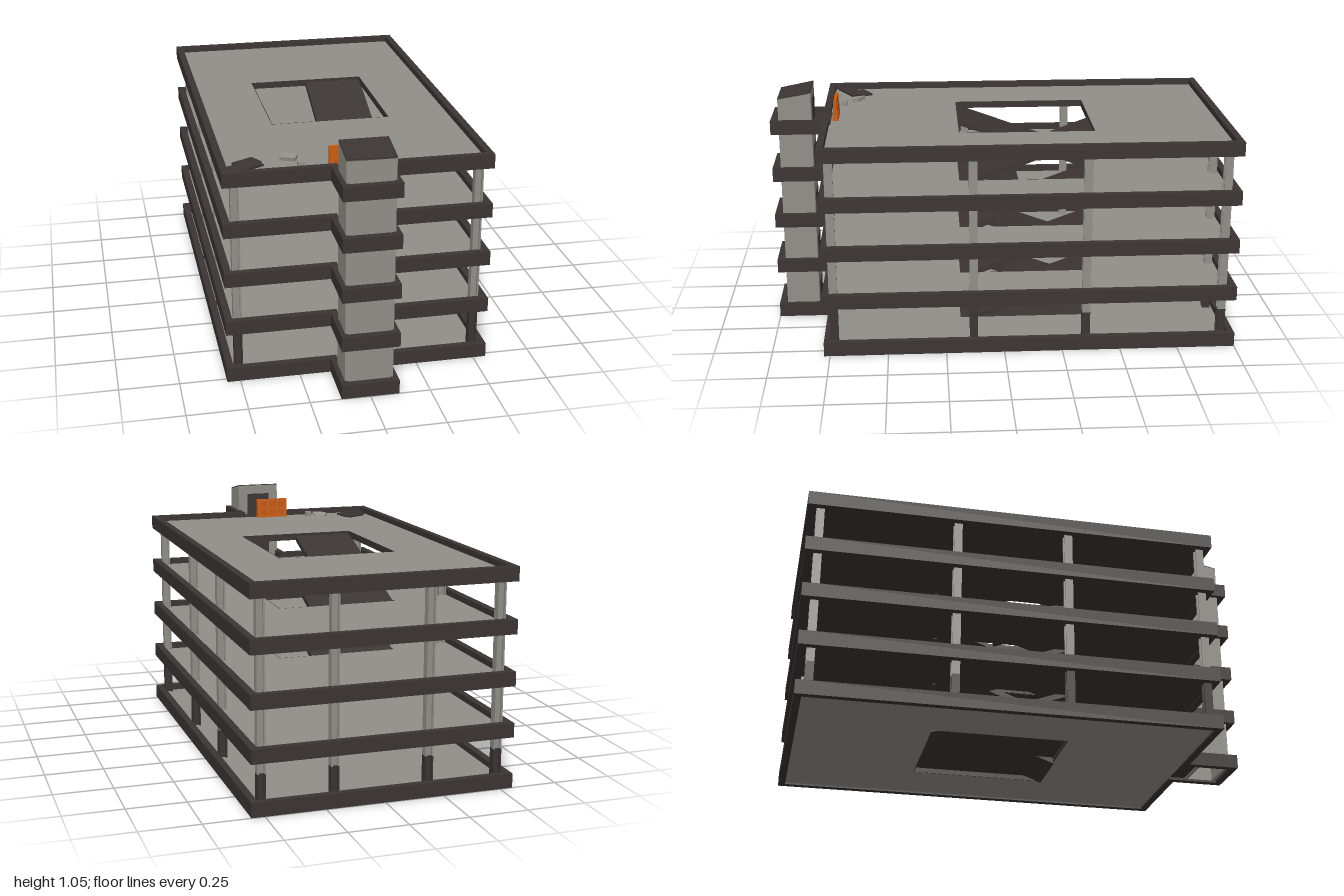
import * as THREE from 'three';

const flat = (name, hex) => {
  const m = new THREE.MeshStandardMaterial({ color: hex });
  m.name = name;
  return m;
};

// Closed plan outline from [x, z] pairs, turned so that holes face inwards
const outline = (pts, Type = THREE.Shape) => new Type(pts.map(([x, z]) => new THREE.Vector2(x, -z)).reverse());
const rect = (x0, x1, z0, z1) => [[x0, z0], [x1, z0], [x1, z1], [x0, z1]];

// Extrudes a plan outline upwards from y0 to y1
function planGeometry(pts, holes, y0, y1) {
  const shape = outline(pts);
  holes.forEach((h) => shape.holes.push(outline(h, THREE.Path)));
  const g = new THREE.ExtrudeGeometry(shape, { depth: y1 - y0, bevelEnabled: false });
  return g.rotateX(-Math.PI / 2).translate(0, y0, 0);
}

// Moves vertices up or down by a rule of their position
function lift(g, rule) {
  const p = g.attributes.position;
  for (let i = 0; i < p.count; i++) p.setY(i, p.getY(i) + rule(p.getX(i), p.getY(i), p.getZ(i)));
  g.computeVertexNormals();
  return g;
}

export function createModel() {
  const concrete = flat('concrete', 0x918f88);
  const dark = flat('dark concrete', 0x3b3433);
  const orange = flat('barrier orange', 0xc85a0c);
  const root = new THREE.Group();
  root.name = 'parkingGarage';

  const add = (parent, name, geometry, material) => {
    const mesh = new THREE.Mesh(geometry, material);
    mesh.name = name;
    parent.add(mesh);
    return mesh;
  };
  const box = (parent, name, size, pos, material) => {
    const mesh = add(parent, name, new THREE.BoxGeometry(...size), material);
    mesh.position.set(...pos);
    return mesh;
  };

  const levels = 5, pitch = 0.2158, bandHeight = 0.061, floorTop = 0.036;
  const W = 0.555, back = -1, front = 0.775;
  const rampBack = -0.41, rampFront = 0.18, rampLength = rampFront - rampBack;

  // Perimeter with the stair tower projection, inset by d
  const perimeter = (d) => [
    [-W + d, back + d], [W - d, back + d], [W - d, front - d], [0.12 - d, front - d],
    [0.12 - d, 1 - d], [-0.12 + d, 1 - d], [-0.12 + d, front - d], [-W + d, front - d],
  ];
  const deck = rect(-W + 0.028, W - 0.028, back + 0.028, front - 0.028);
  const well = rect(-0.26, 0.26, rampBack, rampFront);
  const wellLining = rect(-0.257, 0.257, rampBack + 0.003, rampFront - 0.003);

  // Floors: parapet band, deck, ceiling, dark lining of the ramp well and tower landing
  for (let i = 0; i < levels; i++) {
    const y = i * pitch;
    const floor = new THREE.Group();
    floor.name = 'floor' + i;
    root.add(floor);
    add(floor, 'parapet', planGeometry(perimeter(0), [perimeter(0.03)], y, y + bandHeight), dark);
    const deckBottom = i === 0 ? 0.008 : y + floorTop - 0.006;
    add(floor, 'deck', planGeometry(deck, [well], deckBottom, y + floorTop), concrete);
    if (i > 0) add(floor, 'ceiling', planGeometry(deck, [well], y + 0.006, deckBottom), dark);
    add(floor, 'wellLining', planGeometry(well, [wellLining], y + 0.008, y + floorTop), dark);
    const landingEnd = i === 0 ? 0.825 : 0.98;
    add(floor, 'landing', planGeometry(rect(-0.1, 0.1, 0.74, landingEnd), [], y + 0.012, y + floorTop + 0.003), dark);
  }
  add(root, 'wellFloor', planGeometry(well, [], 0.029, 0.035), dark);

  // Steel columns with an H section
  const h = 0.0175, web = 0.005, flange = 0.011;
  const section = [
    [-h, -h], [-flange, -h], [-flange, -web], [flange, -web], [flange, -h], [h, -h],
    [h, h], [flange, h], [flange, web], [-flange, web], [-flange, h], [-h, h],
  ];
  const spots = [[-0.2, -0.945], [0.2, -0.945]];
  for (const x of [-0.502, 0.502]) for (const z of [-0.945, -0.355, 0.13, 0.73]) spots.push([x, z]);
  for (let i = 0; i < levels - 1; i++) {
    for (const [x, z] of spots) {
      const y0 = i * pitch + floorTop, y1 = (i + 1) * pitch + 0.008;
      const split = i > 0 ? y0 : z > 0 ? y1 : 0.16;
      if (split > y0) add(root, 'columnBase', planGeometry(section, [], y0, split), dark).position.set(x, 0, z);
      if (split < y1) add(root, 'column', planGeometry(section, [], split, y1), concrete).position.set(x, 0, z);
    }
  }

  // Ramps: outline as [distance from centre, fraction of the rise]
  const addRamp = (name, level, side, pts) => {
    const plan = pts.map(([u, t]) => [u, rampLength * (0.5 - t)]).reverse();
    const g = lift(planGeometry(plan, [], -0.036, -0.011), (x, y, z) => pitch * (0.5 - z / rampLength));
    const ramp = add(root, name, g, dark);
    ramp.position.set(0, level * pitch + floorTop, (rampBack + rampFront) / 2);
    if (side < 0) ramp.rotation.y = Math.PI;
  };
  const whole = [[0, 0], [0.26, 0], [0.26, 1], [0, 1]];
  for (const level of [0, 1, 3]) for (const side of [1, -1]) addRamp('ramp', level, side, whole);

  // Collapsed ramps with ragged ends
  addRamp('brokenRampTop', 2, 1, [[0, 1], [0.26, 1], [0.26, 0.52], [0.1, 0.52], [0.05, 0.55], [0, 0.51]]);
  addRamp('brokenRampTop', 2, -1, [[0, 1], [0.26, 1], [0.26, 0.88], [0.24, 0.68], [0.218, 0.52], [0.1, 0.52], [0.06, 0.5], [0, 0.53]]);
  addRamp('brokenRampFoot', 2, 1, [[0, 0], [0.26, 0], [0.26, 0.27], [0.1, 0.27], [0.05, 0.2], [0, 0.15]]);
  addRamp('brokenRampFoot', 2, -1, [[0, 0], [0.26, 0], [0.26, 0.16], [0.22, 0.28], [0.11, 0.21], [0.05, 0.22], [0, 0.15]]);

  // Stair tower: hollow shaft with a sloping roof and a door on each floor
  const tower = new THREE.Group();
  tower.name = 'stairTower';
  root.add(tower);
  const slope = (x, y, z) => (y > 0.9 ? (0.965 - z) * 0.2 : 0);
  const shaft = planGeometry(rect(-0.1, 0.1, 0.82, 0.965), [rect(-0.085, 0.085, 0.835, 0.95)], 0.008, 1.018);
  add(tower, 'shaft', lift(shaft, slope), concrete);
  add(tower, 'roof', lift(planGeometry(rect(-0.1, 0.1, 0.82, 0.965), [], 1.014, 1.022), slope), dark);
  for (let i = 0; i < levels; i++) {
    box(tower, 'door', [0.11, 0.105, 0.006], [0, i * pitch + floorTop + 0.053, 0.819], dark);
  }

  // Slotted roadblock that narrows towards the top
  const barrierShape = outline(rect(-0.076, 0.076, -0.09, 0));
  for (const x of [-0.044, 0, 0.044]) {
    barrierShape.holes.push(outline(rect(x - 0.013, x + 0.013, -0.076, -0.05), THREE.Path));
    barrierShape.holes.push(outline(rect(x - 0.013, x + 0.013, -0.038, -0.01), THREE.Path));
  }
  const barrierGeometry = new THREE.ExtrudeGeometry(barrierShape, { depth: 0.026, bevelEnabled: false });
  barrierGeometry.translate(0, 0, -0.013);
  const bp = barrierGeometry.attributes.position;
  for (let i = 0; i < bp.count; i++) bp.setZ(i, bp.getZ(i) * (1 - 5.5 * bp.getY(i)));
  barrierGeometry.computeVertexNormals();
  const roofY = (levels - 1) * pitch + floorTop;
  add(root, 'barrier', barrierGeometry, orange).position.set(-0.042, roofY, 0.72);
  box(root, 'barrierPanel', [0.145, 0.082, 0.005], [-0.042, roofY + 0.042, 0.72], orange);

  // Debris on the roof deck
  [[-0.44, 0.61, 0.1], [-0.45, 0.645, 0.15], [-0.42, 0.665, 0.09], [-0.465, 0.69, 0.11]].forEach(([x, z, w], i) => {
    const plank = box(root, 'darkPlank', [w, 0.008, 0.042], [x, roofY + 0.004 + i * 0.001, z], dark);
    plank.rotation.y = 0.5;
  });
  const slab = box(root, 'rubbleSlab', [0.066, 0.016, 0.034], [-0.265, roofY + 0.019, 0.628], concrete);
  slab.rotation.set(0.2, -0.45, 0.1);
  box(root, 'rubbleBlock', [0.026, 0.022, 0.026], [-0.225, roofY + 0.011, 0.69], concrete);

  return root;
}
